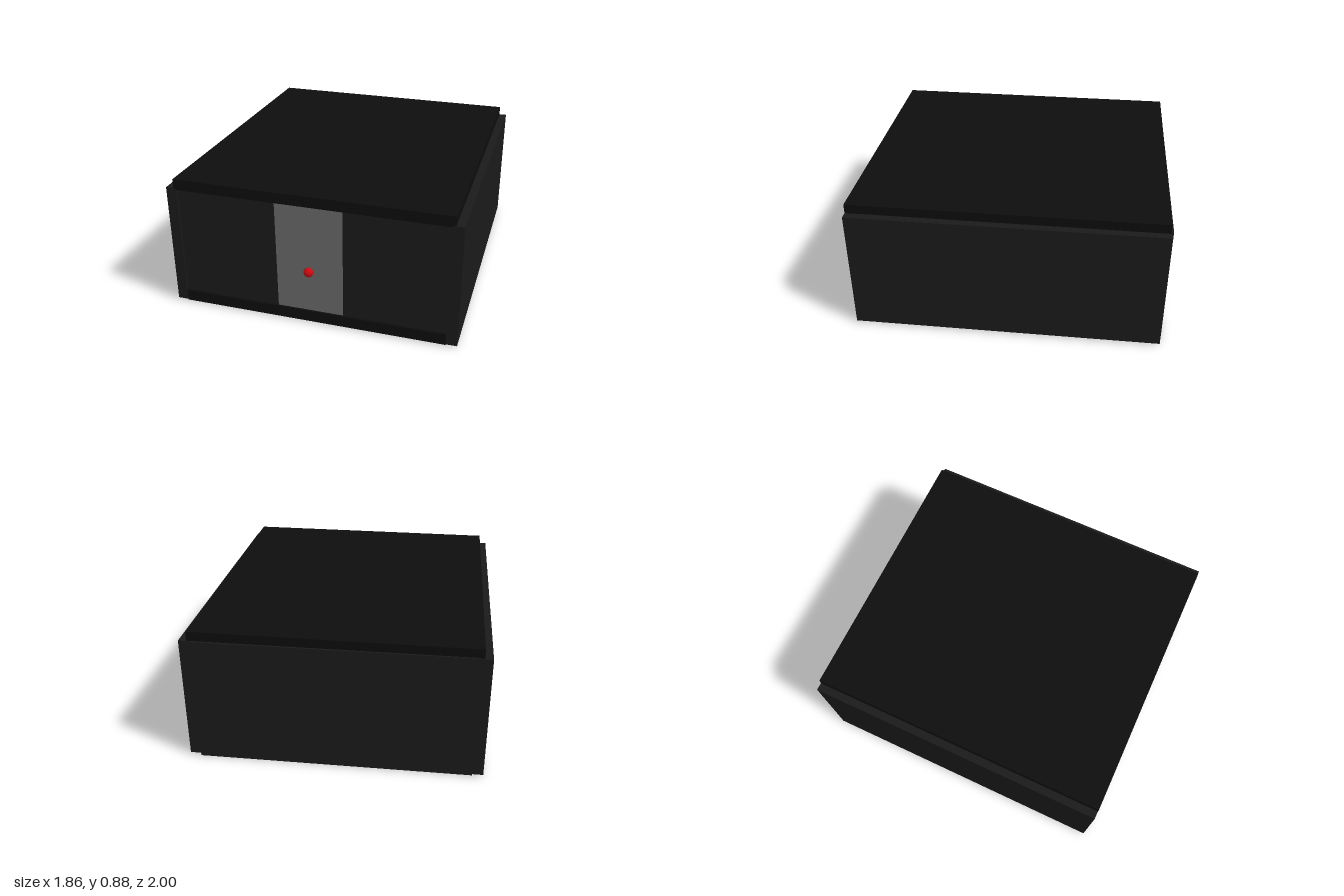
import * as THREE from 'three';

const paint = (color) => new THREE.MeshStandardMaterial({ color });

export function createModel() {
  const model = new THREE.Group();
  const wall = paint(0x1a1a1a);
  const slab = paint(0x0d0d0d);
  const grey = paint(0x6b6b6b);
  const red = paint(0xcc0a10);

  // Box given by its min and max corners
  function board(name, material, [x0, y0, z0], [x1, y1, z1]) {
    const mesh = new THREE.Mesh(new THREE.BoxGeometry(x1 - x0, y1 - y0, z1 - z0), material);
    mesh.position.set((x0 + x1) / 2, (y0 + y1) / 2, (z0 + z1) / 2);
    mesh.name = name;
    model.add(mesh);
    return mesh;
  }

  // Side walls
  board('leftWall', wall, [0.86, 0.015, -0.99], [0.93, 0.82, 0.98]);
  board('rightWall', wall, [-0.93, 0.015, -0.99], [-0.86, 0.82, 0.98]);

  // Top and bottom slabs
  board('topSlab', slab, [-0.88, 0.81, -0.985], [0.88, 0.88, 0.98]);
  board('bottomSlab', slab, [-0.86, 0.01, -0.985], [0.86, 0.085, 0.98]);

  // Back panel, set very slightly askew
  const back = board('backPanel', wall, [-0.86, 0.006, -0.997], [0.86, 0.822, -0.93]);
  back.rotation.set(0, 0.003, -0.003);

  // Front: two dark panels either side of a grey door
  board('frontPanelLeft', wall, [0.21, 0.08, 0.9], [0.86, 0.815, 0.967]);
  board('frontPanelRight', wall, [-0.86, 0.08, 0.9], [-0.22, 0.815, 0.967]);
  board('door', grey, [-0.22, 0.08, 0.9], [0.21, 0.815, 0.967]);

  // Round door knob
  const knob = new THREE.Mesh(new THREE.SphereGeometry(0.031, 32, 16), red);
  knob.position.set(-0.01, 0.362, 0.969);
  knob.name = 'knob';
  model.add(knob);

  return model;
}
